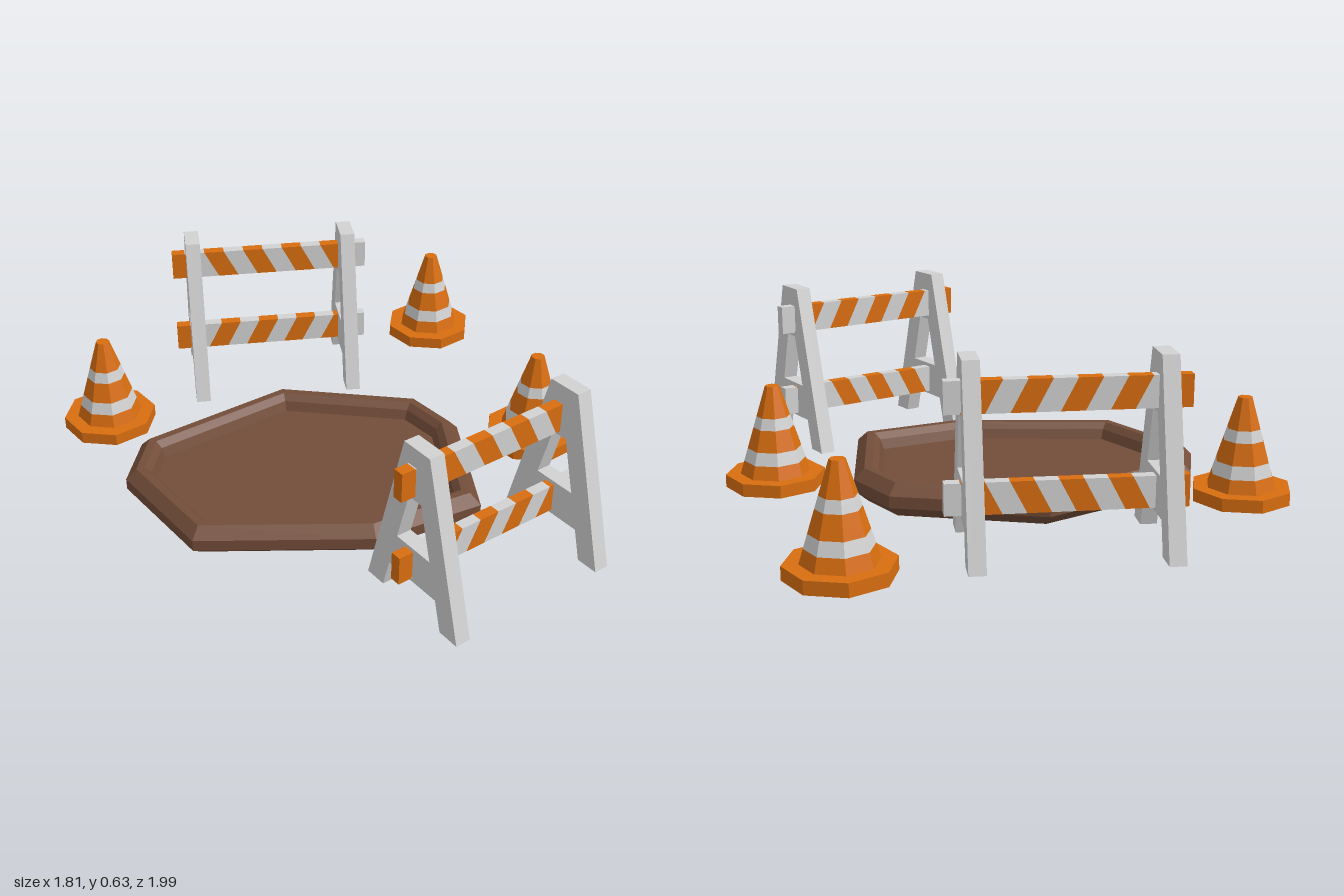
import * as THREE from 'three';

const mat = (name, color) => {
  const m = new THREE.MeshStandardMaterial({ color });
  m.name = name;
  return m;
};

// Gives every face its own normal, for the low-poly look
const flat = (geometry) => {
  const g = geometry.index ? geometry.toNonIndexed() : geometry;
  g.computeVertexNormals();
  return g;
};

const add = (parent, name, geometry, material) => {
  const mesh = new THREE.Mesh(flat(geometry), material);
  mesh.name = name;
  parent.add(mesh);
  return mesh;
};

const polygon = (pts) => new THREE.Shape(pts.map(([x, y]) => new THREE.Vector2(x, y)));

// Extrusion centred on z = 0
const slab = (shape, depth) =>
  new THREE.ExtrudeGeometry(shape, { depth, bevelEnabled: false }).translate(0, 0, -depth / 2);

// Irregular outline of the pit, moved inwards by a distance
const OUTLINE = [[-0.09, -0.48], [0.395, -0.27], [0.48, -0.07], [0.395, 0.4],
  [0, 0.48], [-0.58, 0.33], [-0.74, -0.07], [-0.655, -0.27]];

function insetLoop(inset, y) {
  const n = OUTLINE.length;
  const normal = (i) => {
    const [a, b] = [OUTLINE[i % n], OUTLINE[(i + 1) % n]];
    return new THREE.Vector2(a[1] - b[1], b[0] - a[0]).normalize();
  };
  return OUTLINE.map(([x, z], i) => {
    const n1 = normal(i + n - 1), n2 = normal(i);
    const k = inset / (1 + n1.dot(n2));
    return [x + (n1.x + n2.x) * k, y, z + (n1.y + n2.y) * k];
  });
}

// Raised rim with a sunken floor, swept from the underside to the top of the floor
function pitGeometry() {
  const centre = (y) => OUTLINE.map(() => [-0.12, y, 0]);
  const profile = [[0.1, 0.045], [0.085, 0], [0.045, 0], [0, 0.04], [0, 0.08],
    [0.035, 0.117], [0.062, 0.117], [0.083, 0.095], [0.096, 0.06]];
  const loops = [centre(0.045), ...profile.map(([d, y]) => insetLoop(d, y)), centre(0.06)];
  const pos = [];
  for (let k = 0; k < loops.length - 1; k++) {
    for (let i = 0; i < OUTLINE.length; i++) {
      const j = (i + 1) % OUTLINE.length;
      const a = loops[k][i], b = loops[k][j], c = loops[k + 1][j], d = loops[k + 1][i];
      if (k < loops.length - 2) pos.push(...a, ...d, ...c);
      if (k > 0) pos.push(...a, ...c, ...b);
    }
  }
  return new THREE.BufferGeometry().setAttribute('position', new THREE.Float32BufferAttribute(pos, 3));
}

// Eight-sided cone: hollow foot, then alternating bands up to the tip
function makeCone(orange, white) {
  const cone = new THREE.Group();
  cone.name = 'trafficCone';
  const lathe = (pts) => new THREE.LatheGeometry(pts.map(([r, y]) => new THREE.Vector2(r, y)), 8);
  const radius = (y) => THREE.MathUtils.mapLinear(y, 0.1, 0.4, 0.117, 0.024);
  add(cone, 'coneFoot', lathe([[0.0001, 0.37], [0.1, 0.1], [0.128, 0.057], [0.167, 0.057],
    [0.167, 0.1], [0.117, 0.1]]), orange);
  const levels = [0.1, 0.145, 0.188, 0.259, 0.297, 0.4];
  for (let i = 0; i < 5; i++) {
    const pts = [levels[i], levels[i + 1]].map((y) => [radius(y), y]);
    if (i === 4) pts.push([0.0001, 0.4]);
    add(cone, i % 2 ? 'reflectiveBand' : 'coneBand', lathe(pts), i % 2 ? white : orange);
  }
  return cone;
}

// A-frame end panel, drawn in its side profile
function aFrameGeometry() {
  const foot = 0.217, top = 0.058, low = 0.045, high = 0.635, leg = 0.078;
  const outer = (y) => THREE.MathUtils.mapLinear(y, low, high, foot, top);
  const inner = (y) => outer(y) - leg;
  const shape = polygon([[-foot, low], [-inner(low), low], [-inner(0.15), 0.15], [inner(0.15), 0.15],
    [inner(low), low], [foot, low], [top, high], [-top, high]]);
  shape.holes.push(polygon([[-inner(0.275), 0.275], [-inner(0.455), 0.455],
    [inner(0.455), 0.455], [inner(0.275), 0.275]]));
  return slab(shape, 0.053).rotateY(-Math.PI / 2);
}

function makeBarricade(orange, white, frameColour) {
  const barricade = new THREE.Group();
  barricade.name = 'barricade';
  for (const side of [-1, 1]) {
    add(barricade, side < 0 ? 'rightFrame' : 'leftFrame', aFrameGeometry(), frameColour)
      .position.x = side * 0.291;
  }
  // Boards of slanted stripes; the slant is reversed on the lower board
  const half = 0.369, count = 10, height = 0.1;
  for (const [name, y, slant] of [['upperBoard', 0.47, -0.026], ['lowerBoard', 0.162, 0.026]]) {
    const board = new THREE.Group();
    board.name = name;
    board.position.set(0, y, -0.018);
    const edge = (i, s) => -half + (2 * half * i) / count + (i === 0 || i === count ? 0 : s);
    for (let i = 0; i < count; i++) {
      const shape = polygon([[edge(i, -slant), 0], [edge(i + 1, -slant), 0],
        [edge(i + 1, slant), height], [edge(i, slant), height]]);
      add(board, i % 2 ? 'whiteStripe' : 'orangeStripe', slab(shape, 0.037), i % 2 ? white : orange);
    }
    barricade.add(board);
  }
  return barricade;
}

export function createModel() {
  const model = new THREE.Group();
  model.name = 'roadworks';
  const orange = mat('safety orange', 0xd86d10);
  const white = mat('pale grey', 0xd2d2d2);
  const brown = mat('earth brown', 0x734d39);

  add(model, 'pit', pitGeometry(), brown);

  for (const [x, z] of [[0.63, -0.834], [-0.74, -0.49], [0.733, 0.028]]) {
    const cone = makeCone(orange, white);
    cone.position.set(x, 0, z);
    model.add(cone);
  }

  for (const [x, z, degrees] of [[0.315, 0.677, 20.4], [-0.062, -0.729, -6.8]]) {
    const barricade = makeBarricade(orange, white, white);
    barricade.position.set(x, 0, z);
    barricade.rotation.y = THREE.MathUtils.degToRad(degrees);
    model.add(barricade);
  }
  return model;
}
